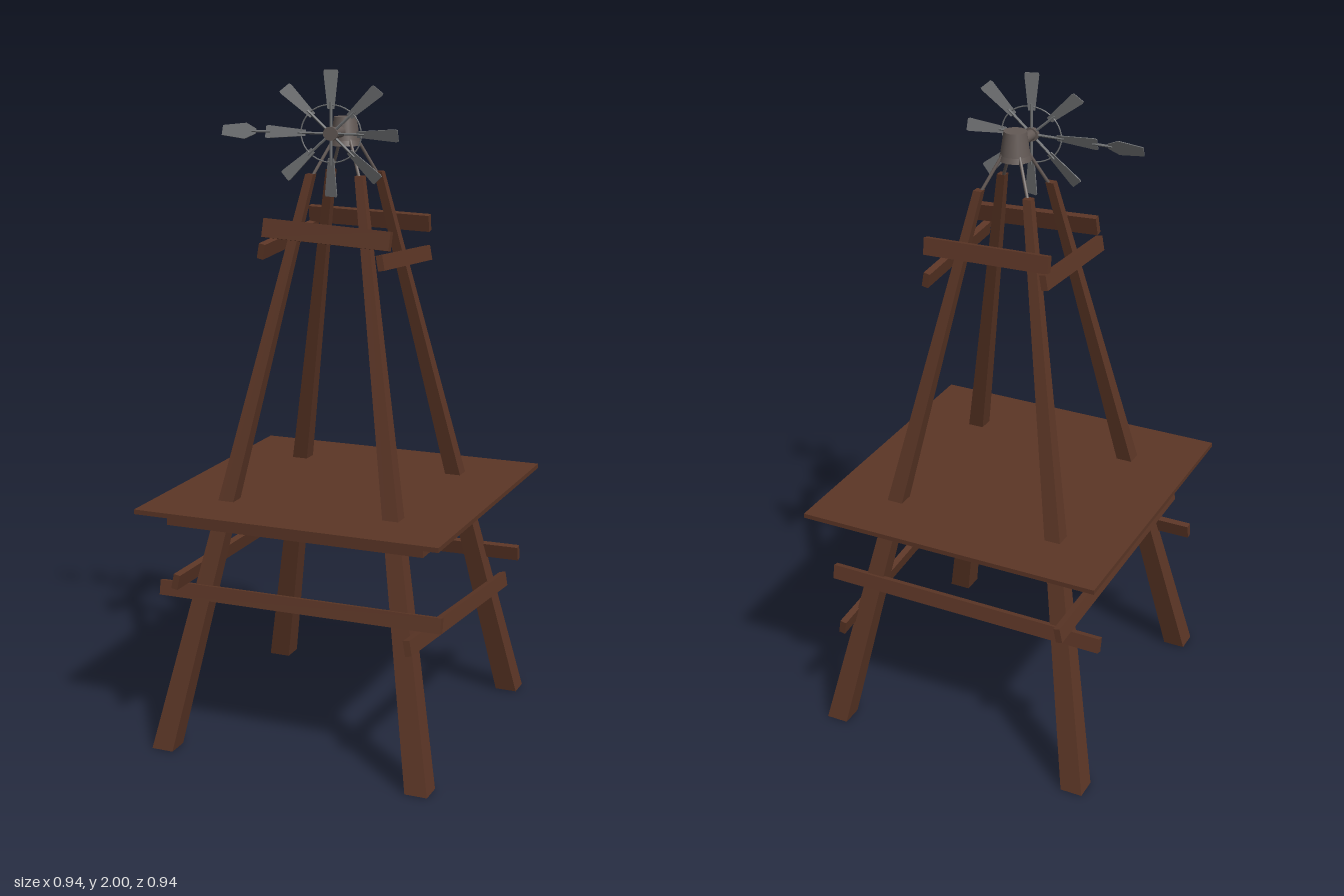
import * as THREE from 'three';

const wood = new THREE.MeshStandardMaterial({ color: 0x5c3626, flatShading: true });
const metal = new THREE.MeshStandardMaterial({ color: 0x707274, flatShading: true, side: THREE.DoubleSide });
const hubMetal = new THREE.MeshStandardMaterial({ color: 0x645a56 });

function add(parent, name, geometry, material) {
  const mesh = new THREE.Mesh(geometry, material);
  mesh.name = name;
  parent.add(mesh);
  return mesh;
}

function box(parent, name, size, pos, rot = [0, 0, 0]) {
  const mesh = add(parent, name, new THREE.BoxGeometry(...size), wood);
  mesh.position.set(...pos);
  mesh.rotation.set(...rot);
  return mesh;
}

// Round bar between two points
function rod(parent, name, a, b, radius, material, sides = 8) {
  const from = new THREE.Vector3(...a), to = new THREE.Vector3(...b);
  const dir = to.clone().sub(from);
  const mesh = add(parent, name, new THREE.CylinderGeometry(radius, radius, dir.length(), sides), material);
  mesh.position.copy(from).add(to).multiplyScalar(0.5);
  mesh.quaternion.setFromUnitVectors(new THREE.Vector3(0, 1, 0), dir.normalize());
}

// Square post that leans and tapers, with level ends
function legGeometry(sx, sz) {
  const g = new THREE.BoxGeometry(1, 1, 1);
  const p = g.attributes.position;
  for (let i = 0; i < p.count; i++) {
    const t = p.getY(i) + 0.5;
    const width = THREE.MathUtils.lerp(0.068, 0.025, t);
    p.setXYZ(i,
      p.getX(i) * width + sx * THREE.MathUtils.lerp(0.405, 0.077, t),
      t * 1.7,
      p.getZ(i) * width + sz * THREE.MathUtils.lerp(0.42, 0.075, t));
  }
  g.computeVertexNormals();
  return g;
}

// Plank along x (front and back) or along z (sides), leaning with the legs
function plank(parent, name, alongX, length, height, offset, y, slope, shift = 0) {
  const lean = 0.2 * Math.sign(offset);
  const size = alongX ? [length, height, 0.02] : [0.02, height, length];
  const pos = alongX ? [shift, y, offset] : [offset, y, shift];
  const mesh = box(parent, name, size, pos);
  if (alongX) mesh.rotation.set(-lean, 0, slope, 'ZXY');
  else mesh.rotation.set(slope, 0, lean, 'XZY');
}

function flatShape(points) {
  const shape = new THREE.Shape(points.map(([x, y]) => new THREE.Vector2(x, y)));
  const g = new THREE.ExtrudeGeometry(shape, { depth: 0.003, bevelEnabled: false });
  return g.translate(0, 0, -0.0015);
}

export function createModel() {
  const model = new THREE.Group();
  model.name = 'windmillTower';

  // Legs and the thin struts that carry the head
  for (const sx of [-1, 1]) for (const sz of [-1, 1]) {
    add(model, 'leg', legGeometry(sx, sz), wood);
    rod(model, 'headStrut', [sx * 0.077, 1.685, sz * 0.075], [sx * 0.025, 1.8, sz * 0.025], 0.005, hubMetal);
  }

  // Deck with its frame of beams
  box(model, 'deck', [0.94, 0.014, 0.94], [0, 0.742, 0]);
  for (const s of [-1, 1]) {
    box(model, 'deckBeam', [0.8, 0.045, 0.03], [0, 0.713, s * 0.385]);
    box(model, 'deckBeam', [0.03, 0.045, 0.74], [s * 0.385, 0.713, 0]);
  }

  // Lower braces, nailed on unevenly
  plank(model, 'lowerFrontBrace', true, 0.89, 0.045, 0.355, 0.48, 0.003, -0.003);
  plank(model, 'lowerBackBrace', true, 0.89, 0.045, -0.35, 0.482, 0.006, 0.003);
  plank(model, 'lowerLeftBrace', false, 0.89, 0.045, 0.37, 0.395, -0.085, -0.005);
  plank(model, 'lowerRightBrace', false, 0.89, 0.045, -0.345, 0.537, -0.006, 0.013);

  // Upper braces
  plank(model, 'upperFrontBrace', true, 0.395, 0.055, 0.172, 1.54, -0.05, 0.013);
  plank(model, 'upperBackBrace', true, 0.39, 0.05, -0.165, 1.548, -0.03, 0.01);
  plank(model, 'upperLeftBrace', false, 0.395, 0.045, 0.19, 1.46, -0.06, 0.004);
  plank(model, 'upperRightBrace', false, 0.395, 0.045, -0.18, 1.497, 0.065, 0.004);

  // Head: flared housing and forward shaft
  const head = new THREE.CylinderGeometry(0.033, 0.043, 0.068, 20);
  add(model, 'headHousing', head, hubMetal).position.set(0, 1.828, 0);
  add(model, 'headRim', new THREE.CylinderGeometry(0.043, 0.047, 0.016, 20), hubMetal).position.set(0, 1.787, 0);
  rod(model, 'shaft', [0, 1.82, 0.02], [0, 1.82, 0.1], 0.016, hubMetal, 16);

  // Wheel: spokes, pitched blades, ring and hub cap
  const wheel = new THREE.Group();
  wheel.name = 'wheel';
  wheel.position.set(0, 1.82, 0.106);
  wheel.scale.x = 1.14;
  model.add(wheel);
  const bladeShape = flatShape([[-0.009, 0.07], [0.009, 0.07], [0.019, 0.174], [0.017, 0.18], [-0.017, 0.18], [-0.019, 0.174]]);
  for (let i = 0; i < 8; i++) {
    const arm = new THREE.Group();
    arm.name = 'arm';
    arm.rotation.z = i * Math.PI / 4;
    wheel.add(arm);
    rod(arm, 'spoke', [0, 0, 0], [0, 0.09, 0], 0.004, metal, 6);
    add(arm, 'blade', bladeShape, metal).rotation.y = 0.3;
  }
  add(wheel, 'ring', new THREE.TorusGeometry(0.082, 0.002, 6, 40), metal);
  rod(wheel, 'hubCap', [0, 0, -0.007], [0, 0, 0.006], 0.02, hubMetal, 16);

  // Tail vane reaching to one side of the wheel
  rod(model, 'tailRod', [-0.19, 1.82, 0.106], [-0.25, 1.82, 0.106], 0.004, metal, 6);
  const vane = flatShape([[-0.345, -0.015], [-0.27, -0.024], [-0.237, -0.008], [-0.237, 0.008], [-0.27, 0.024], [-0.345, 0.015]]);
  const tail = add(model, 'tailVane', vane, metal);
  tail.position.set(0, 1.82, 0.106);
  tail.rotation.x = -0.35;

  return model;
}
